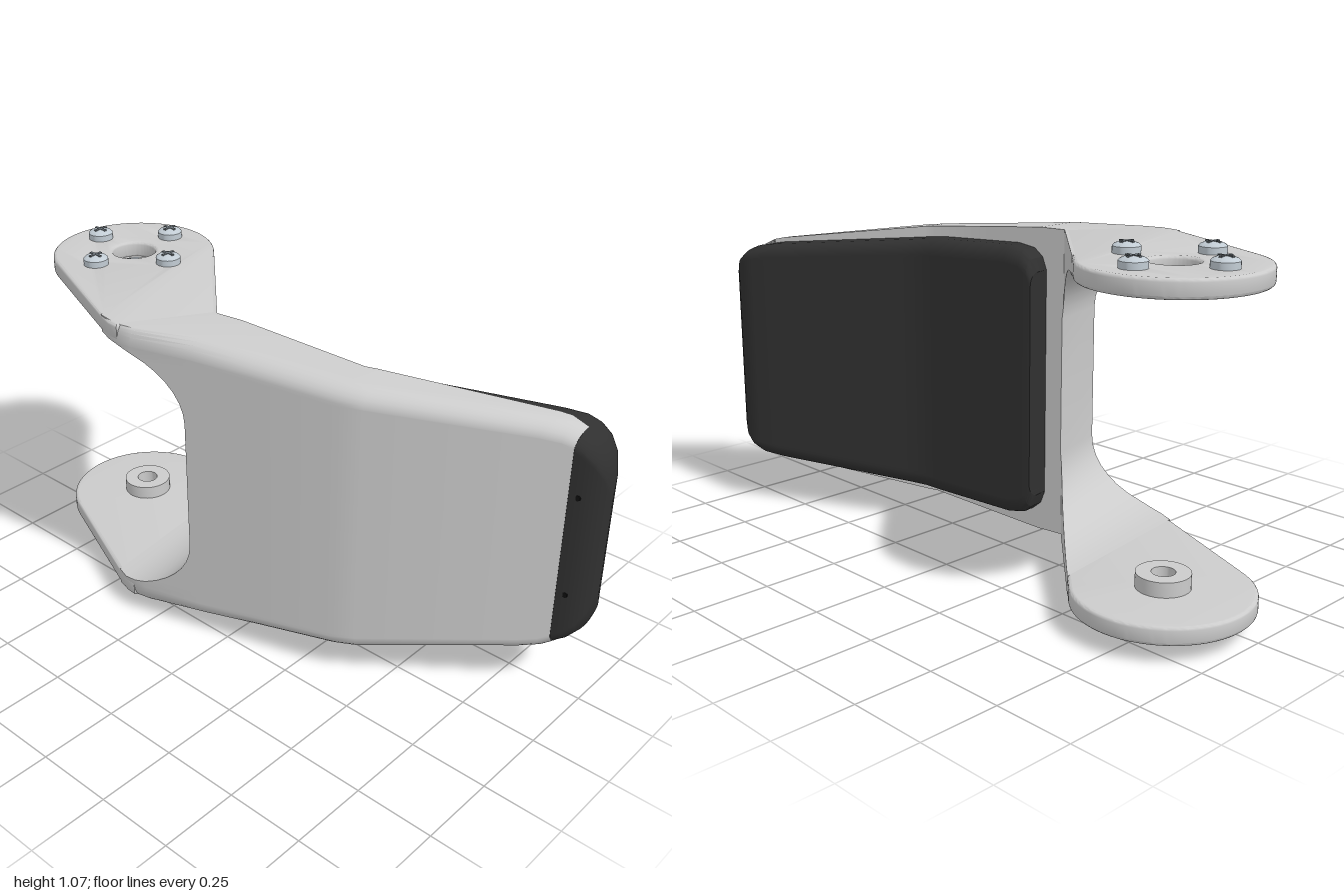
import * as THREE from 'three';
import { toCreasedNormals } from 'three/addons/utils/BufferGeometryUtils.js';

const MID = 0.545, HALF = 0.49, FLAT = 0.435 / HALF;
const grey = new THREE.MeshStandardMaterial({ color: 0xcccccc });
const dark = new THREE.MeshStandardMaterial({ color: 0x303030 });
const steel = new THREE.MeshStandardMaterial({ color: 0xc2ccd4 });
const slotMat = new THREE.MeshStandardMaterial({ color: 0x6a7278 });

// Piecewise linear function through [x, value] points
function along(pts, x) {
  if (x <= pts[0][0]) return pts[0][1];
  for (let i = 1; i < pts.length; i++) {
    const [x0, v0] = pts[i - 1], [x1, v1] = pts[i];
    if (x <= x1) return v0 + (v1 - v0) * (x - x0) / (x1 - x0);
  }
  return pts[pts.length - 1][1];
}
const outer = [[-0.42, 0.33], [-0.37, 0.347], [-0.33, 0.35], [-0.28, 0.346], [0.36, 0.165], [0.43, 0.135], [0.91, -0.19]];
const inner = [[-0.55, -0.28], [-0.17, 0.09], [0.34, 0.015], [0.86, -0.25]];
const height = [[-0.08, 0.49], [0.4, 0.45], [0.83, 0.39], [0.88, 0.378], [0.91, 0.36]];

// Rows across the height (-1..1), dense at the cutout curve and at the edges
const half = [0.439];
for (let i = 1; i <= 10; i++) half.push((0.215 + 0.22 * Math.sin(i * Math.PI / 20)) / HALF);
for (let i = 1; i <= 6; i++) half.push(FLAT + (1 - FLAT) * Math.sin(i * Math.PI / 12));
const rows = [...half.map(t => -t).reverse(), 0, ...half];
const roundDrop = t => {
  const u = Math.min(1, Math.max(0, (Math.abs(t) - FLAT) / (1 - FLAT)));
  return 1 - Math.sqrt(1 - u * u);
};

// Closed slab: front(j, t) and back(j, t) give the points of column j, row t
function slab(columns, front, back) {
  const pos = [], index = [], n = rows.length, ring = 2 * n;
  for (let j = 0; j < columns; j++) {
    rows.forEach(t => pos.push(...front(j, t)));
    [...rows].reverse().forEach(t => pos.push(...back(j, t)));
  }
  const quad = (a, b, c, d) => index.push(a, b, c, a, c, d);
  for (let j = 0; j < columns - 1; j++) {
    for (let k = 0; k < ring; k++) {
      const l = (k + 1) % ring, a = j * ring, b = a + ring;
      quad(a + k, b + k, b + l, a + l);
    }
  }
  const e = (columns - 1) * ring;
  for (let i = 0; i < n - 1; i++) {
    const q = ring - 1 - i;
    quad(q, i, i + 1, q - 1);
    quad(e + i, e + q, e + q - 1, e + i + 1);
  }
  const g = new THREE.BufferGeometry();
  g.setAttribute('position', new THREE.Float32BufferAttribute(pos, 3));
  g.setIndex(index);
  return toCreasedNormals(g.toNonIndexed(), 0.5);
}

// Bent shell with the curved cutout between the two plates
function shellGeometry() {
  const xf = [-0.42, -0.37, -0.33, -0.28, -0.08, 0.1, 0.36, 0.43, 0.83, 0.88, 0.91];
  const xb = [-0.5, -0.4, -0.3, -0.17, -0.08, 0.1, 0.34, 0.37, 0.79, 0.83, 0.86];
  const cut = (t, x0, w) => {
    const u = Math.min(1, Math.max(0, (Math.abs(t) * HALF - 0.215) / 0.22));
    return x0 - w * (1 - Math.sqrt(1 - u * u));
  };
  return slab(xf.length, (j, t) => {
    const x = Math.max(xf[j], cut(t, -0.11, 0.31));
    const r = 0.07 * Math.min(1, Math.max(0, (x + 0.42) / 0.4));
    return [x, MID + t * along(height, x), along(outer, x) - r * roundDrop(t)];
  }, (j, t) => {
    const x = Math.max(xb[j], cut(t, -0.165, 0.335));
    return [x, MID + t * along(height, x), along(inner, x)];
  });
}

// Pad columns: front x, front z, back x, back z, half height
const padColumns = [
  [-0.105, 0.083, -0.11, 0.005, 0.36], [-0.09, 0.082, -0.095, 0, 0.4],
  [-0.06, 0.078, -0.065, -0.004, 0.425], [0, 0.069, -0.01, -0.013, 0.435],
  [0.3, 0.025, 0.28, -0.06, 0.425], [0.35, 0.014, 0.33, -0.072, 0.42],
  [0.4, -0.011, 0.38, -0.095, 0.415], [0.83, -0.23, 0.81, -0.315, 0.375],
  [0.862, -0.246, 0.87, -0.344, 0.367], [0.91, -0.188, 0.905, -0.354, 0.355],
  [0.94, -0.197, 0.94, -0.347, 0.335], [0.97, -0.215, 0.97, -0.331, 0.3],
  [0.99, -0.24, 0.99, -0.307, 0.25], [1, -0.268, 1, -0.28, 0.18]
];
function padGeometry() {
  const r = c => Math.min(0.06, (c[1] - c[3]) * 0.45);
  return slab(padColumns.length, (j, t) => {
    const c = padColumns[j];
    return [c[0], MID + t * c[4], c[1] - (c[0] > 0.9 ? r(c) * roundDrop(t) : 0)];
  }, (j, t) => {
    const c = padColumns[j];
    return [c[2], MID + t * c[4], c[3] + r(c) * roundDrop(t)];
  });
}

// Round-ended mounting plate, with optional round holes
const PX = -0.735, PZ = -0.09, OFF = 0.165;
const screwSpots = [[OFF, 0], [-OFF, 0], [0, OFF], [0, -OFF]];
function plateGeometry(holes) {
  const s = new THREE.Shape();
  s.absarc(PX, -PZ, 0.265, 0.799, 4.314, false);
  s.lineTo(-0.42, -0.33);
  s.lineTo(-0.37, -0.347);
  s.lineTo(-0.33, -0.35);
  s.lineTo(-0.17, -0.09);
  s.closePath();
  for (const [x, z, r] of holes) {
    const h = new THREE.Path();
    h.absarc(PX + x, -PZ - z, r, 0, Math.PI * 2, true);
    s.holes.push(h);
  }
  const b = 0.01;
  const g = new THREE.ExtrudeGeometry(s, {
    depth: 0.055 - 2 * b, bevelSize: b, bevelThickness: b, bevelOffset: -b, bevelSegments: 3, curveSegments: 40
  });
  g.rotateX(-Math.PI / 2).translate(0, b, 0);
  return toCreasedNormals(g, 0.6);
}

function add(parent, name, geometry, material, x = 0, y = 0, z = 0) {
  const m = new THREE.Mesh(geometry, material);
  m.name = name;
  m.position.set(x, y, z);
  parent.add(m);
  return m;
}

function lathe(points) {
  return toCreasedNormals(new THREE.LatheGeometry(points.map(p => new THREE.Vector2(...p)), 32).toNonIndexed(), 0.6);
}

// Domed cross-head screw, head up, seated at its origin
function screw(name, r, h, shank) {
  const g = new THREE.Group();
  g.name = name;
  add(g, 'screwHead', lathe([[0, 0], [r, 0], [r, h * 0.6], [r * 0.85, h * 0.78], [r * 0.5, h * 0.95], [0, h]]), steel);
  for (const [a, b] of [[1.2, 0.24], [0.24, 1.2]]) {
    add(g, 'crossSlot', new THREE.BoxGeometry(r * a, 0.008, r * b), slotMat, 0, h - 0.003, 0);
  }
  if (shank) add(g, 'screwShank', new THREE.CylinderGeometry(r * 0.5, r * 0.5, shank, 20), steel, 0, -shank / 2, 0);
  return g;
}

export function createModel() {
  const model = new THREE.Group();
  model.name = 'bracketWithPad';

  add(model, 'bentShell', shellGeometry(), grey);
  add(model, 'pad', padGeometry(), dark);
  for (const y of [0.385, 0.715]) {
    const hole = add(model, 'padPinhole', new THREE.CylinderGeometry(0.009, 0.009, 0.02, 12), slotMat, 0.935, y, -0.204);
    hole.rotation.x = Math.PI / 2;
    hole.material = new THREE.MeshStandardMaterial({ color: 0x111111 });
  }

  // Plates
  const holes = [[0, 0, 0.07], ...screwSpots.map(([x, z]) => [x, z, 0.02])];
  add(model, 'topPlate', plateGeometry(holes), grey, 0, 0.98, 0);
  add(model, 'bottomPlate', plateGeometry([]), grey, 0, 0.055, 0);

  // Four screws around the top hole
  for (const [x, z] of screwSpots) {
    const s = screw('plateScrew', 0.04, 0.033, 0.05);
    s.position.set(PX + x, 1.035, PZ + z);
    model.add(s);
  }

  // Pivot screw sunk in the top hole, visible from both sides
  const up = screw('topPivotScrew', 0.058, 0.025, 0);
  up.position.set(PX, 0.97, PZ);
  const down = screw('topPivotScrewUnderside', 0.055, 0.022, 0);
  down.position.set(PX, 0.972, PZ);
  down.rotation.x = Math.PI;
  add(model, 'pivotCollar', lathe([[0.056, 0.975], [0.071, 0.975], [0.071, 0.985], [0.056, 0.985]]), grey, PX, 0, PZ);

  // Bottom boss and pivot screw
  add(model, 'bottomBoss', lathe([[0.08, 0], [0.08, 0.045], [0.035, 0.045], [0.035, 0]]), grey, PX, 0.11, PZ);
  const bottom = screw('bottomPivotScrew', 0.057, 0.055, 0);
  bottom.position.set(PX, 0.055, PZ);
  bottom.rotation.x = Math.PI;
  model.add(up, down, bottom);
  return model;
}
